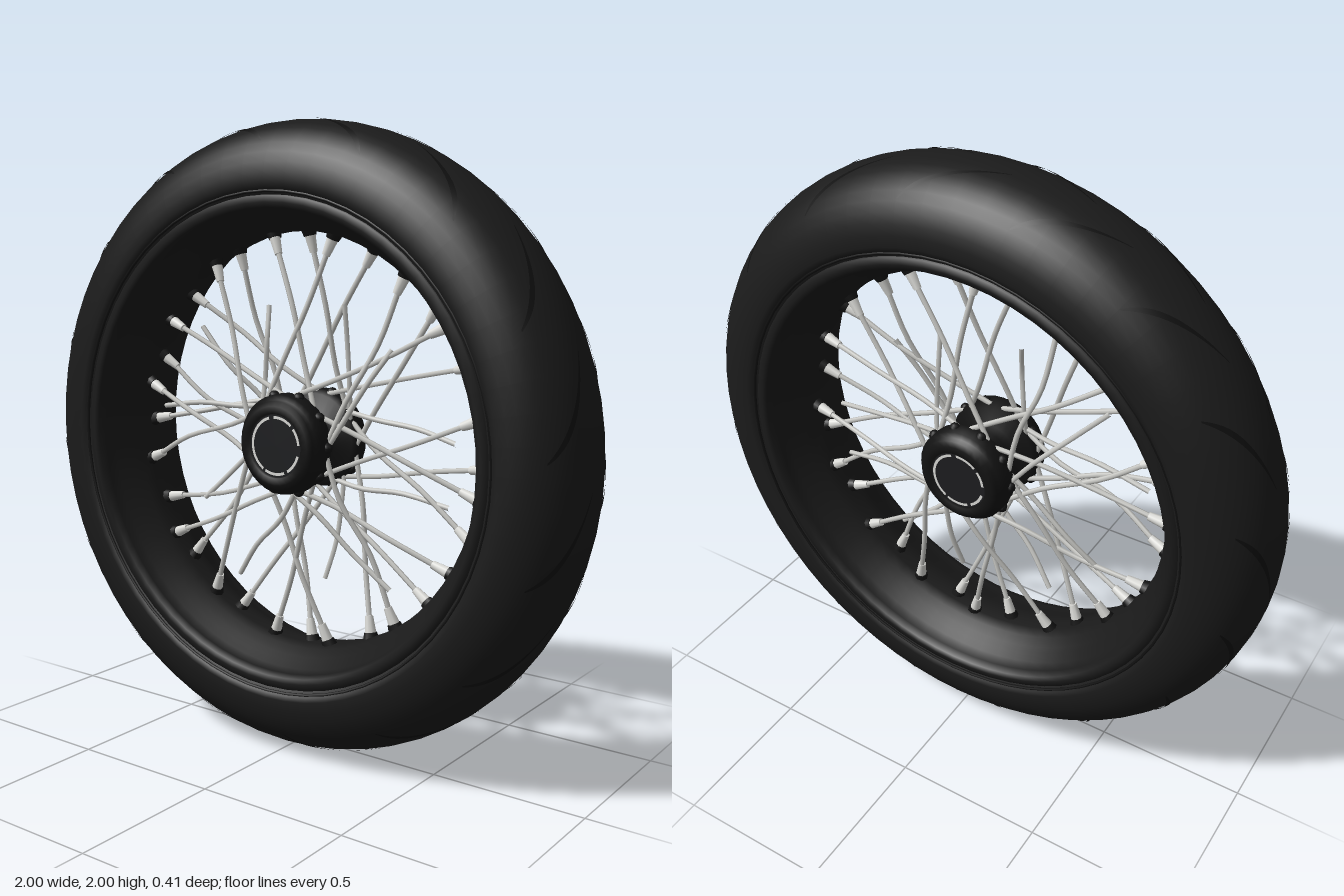
import * as THREE from 'three';

const material = (name, color, side = THREE.FrontSide) => {
  const m = new THREE.MeshStandardMaterial({ color, side });
  m.name = name;
  return m;
};

// Tyre crown: radius at a given distance from the centre plane
const HALF = 0.207;
const crown = (z) => 0.8 + 0.2 * Math.sqrt(Math.max(0, 1 - Math.pow(Math.min(1, Math.abs(z) / HALF), 2.2)));
const polar = (r, a, z) => new THREE.Vector3(r * Math.cos(a), r * Math.sin(a), z);

export function createModel() {
  const mats = {
    tyre: material('tyre rubber', 0x1b1b1b),
    groove: material('groove black', 0x0f0f0f, THREE.DoubleSide),
    rim: material('rim black', 0x1a1a1a, THREE.DoubleSide),
    hub: material('hub black', 0x121212),
    cap: material('cap grey', 0x1d1e20),
    spoke: material('spoke steel', 0xc9c9c5),
    nipple: material('nipple steel', 0xdcdcd8),
  };
  const wheel = new THREE.Group();
  wheel.name = 'wheel';
  wheel.position.y = 1;

  const add = (name, geometry, mat, parent = wheel) => {
    const mesh = new THREE.Mesh(geometry, mat);
    mesh.name = name;
    parent.add(mesh);
    return mesh;
  };
  const group = (name) => {
    const g = new THREE.Group();
    g.name = name;
    wheel.add(g);
    return g;
  };
  // Lathe turned about the z axle from [radius, z] pairs
  const turn = (pairs, segments) =>
    new THREE.LatheGeometry(pairs.map(([r, z]) => new THREE.Vector2(r, z)), segments).rotateX(Math.PI / 2);
  // Full profile from its back half
  const mirrored = (half) => [...half, ...half.slice().reverse().map(([r, z]) => [r, -z])];

  // Tyre: bead, sidewall and rounded crown
  const back = [[0.73, -0.165], [0.755, -0.188], [0.775, -0.192], [0.785, -0.201]];
  const tread = [];
  for (let i = 0; i <= 20; i++) {
    const z = HALF * Math.sin((i / 20 - 0.5) * Math.PI);
    tread.push([crown(z), z]);
  }
  const front = back.slice().reverse().map(([r, z]) => [r, -z]);
  add('tyre', turn([...back, ...tread, ...front], 64), mats.tyre);

  // Long slender tread grooves, staggered on the two shoulders
  const grooves = group('treadGrooves');
  const grooveGeometry = (start, side) => {
    const pos = [], index = [], n = 12;
    for (let i = 0; i <= n; i++) {
      const t = i / n;
      const z = side * (0.165 - 0.135 * t);
      const a = start + 0.3 * t - 0.03 * Math.sin(t * Math.PI);
      const w = 0.003 + 0.014 * Math.sin(t * Math.PI);
      for (const s of [-1, 1]) pos.push(...polar(crown(z) + 0.003, a + s * w, z).toArray());
      if (i) {
        const k = 2 * i;
        index.push(k - 2, k, k - 1, k - 1, k, k + 1);
      }
    }
    // Wind each shoulder so its faces point outwards
    if (side > 0) index.reverse();
    const g = new THREE.BufferGeometry();
    g.setAttribute('position', new THREE.Float32BufferAttribute(pos, 3));
    g.setIndex(index);
    g.computeVertexNormals();
    return g;
  };
  const GROOVES = 16;
  for (let i = 0; i < GROOVES; i++)
    for (const side of [-1, 1])
      add('treadGroove', grooveGeometry(((i + (side > 0 ? 0 : 0.4)) / GROOVES) * Math.PI * 2 - 0.35, side), mats.groove, grooves);

  // Rim with raised lips, a dark seam against the bead and a dropped centre
  const rimHalf = [[0.772, 0.18], [0.765, 0.196], [0.745, 0.2], [0.73, 0.194], [0.722, 0.17],
    [0.715, 0.135], [0.695, 0.115], [0.69, 0.085], [0.668, 0.06], [0.662, 0.02]];
  add('rim', turn(mirrored(rimHalf), 64), mats.rim);
  for (const side of [-1, 1])
    add('beadSeam', new THREE.TorusGeometry(0.779, 0.005, 6, 64).translate(0, 0, side * 0.195), mats.groove);

  // Hub: narrow barrel between two spoke flanges and stepped end caps
  const hubBack = [[0, -0.145], [0.1, -0.145], [0.102, -0.155], [0.125, -0.155], [0.14, -0.145], [0.142, -0.128],
    [0.158, -0.122], [0.16, -0.075], [0.145, -0.06], [0.09, -0.05], [0.075, -0.03]];
  add('hub', turn(mirrored(hubBack), 32), mats.hub);
  for (const side of [-1, 1]) {
    const cap = group('hubCap');
    if (side < 0) cap.rotation.y = Math.PI;
    add('capDisc', new THREE.CircleGeometry(0.099, 32).translate(0, 0, 0.147), mats.cap, cap);
    // Bright ring, broken into worn arcs
    for (const [start, length] of [[1.85, 2.3], [4.25, 0.85], [5.25, 0.75], [0.1, 0.6], [0.85, 0.8]])
      add('capRing', new THREE.RingGeometry(0.085, 0.094, 12, 1, start, length).translate(0, 0, 0.149), mats.nipple, cap);
    // Flange bolts
    for (let i = 0; i < 10; i++) {
      const p = polar(0.155, (i / 10) * Math.PI * 2, 0.09);
      add('flangeBolt', new THREE.SphereGeometry(0.018, 8, 6).translate(p.x, p.y, p.z), mats.hub, cap);
    }
  }

  // Spokes: laced alternately to both flanges, leaning both ways
  let seed = 7;
  const jitter = () => ((seed = (seed * 16807) % 2147483647) / 2147483647) * 2 - 1;
  const spokes = group('spokes');
  const nipples = group('nipples');
  const up = new THREE.Vector3(0, 1, 0);
  const spokeTube = (from, to) => {
    const bend = (t) => from.clone().lerp(to, t).add(new THREE.Vector3(jitter(), jitter(), jitter()).multiplyScalar(0.014));
    const path = new THREE.CatmullRomCurve3([from, bend(0.33), bend(0.67), to]);
    return new THREE.TubeGeometry(path, 12, 0.0085, 6);
  };
  const rod = (name, from, to, r0, r1, mat) => {
    const dir = to.clone().sub(from);
    const mesh = add(name, new THREE.CylinderGeometry(r1, r0, dir.length(), 8), mat, nipples);
    mesh.position.copy(from).lerp(to, 0.5);
    mesh.quaternion.setFromUnitVectors(up, dir.normalize());
  };
  const SPOKES = 32;
  for (let i = 0; i < SPOKES; i++) {
    const a = ((i + 0.2 * jitter()) / SPOKES) * Math.PI * 2;
    const side = i % 2 ? 1 : -1;
    const lean = (i >> 1) % 2 ? 1 : -1;
    const foot = polar(0.135, a + lean * 1.15, side * 0.085);
    const seat = polar(0.668, a, side * 0.015);
    const at = (d) => seat.clone().add(foot.clone().sub(seat).setLength(d));
    add('spoke', spokeTube(foot, at(0.05)), mats.spoke, spokes);
    rod('nippleSeat', seat, at(0.022), 0.026, 0.021, mats.hub);
    rod('nipple', at(0.015), at(0.075), 0.019, 0.013, mats.nipple);
    // Shorter loose spokes between the full ones
    if (i % 3 === 0) {
      const tip = polar(0.5 + 0.08 * jitter(), a + 0.1, side * 0.03);
      add('shortSpoke', spokeTube(polar(0.13, a - lean * 0.9, side * 0.08), tip), mats.spoke, spokes);
    }
  }

  const model = new THREE.Group();
  model.name = 'spokedWheel';
  model.add(wheel);
  return model;
}
